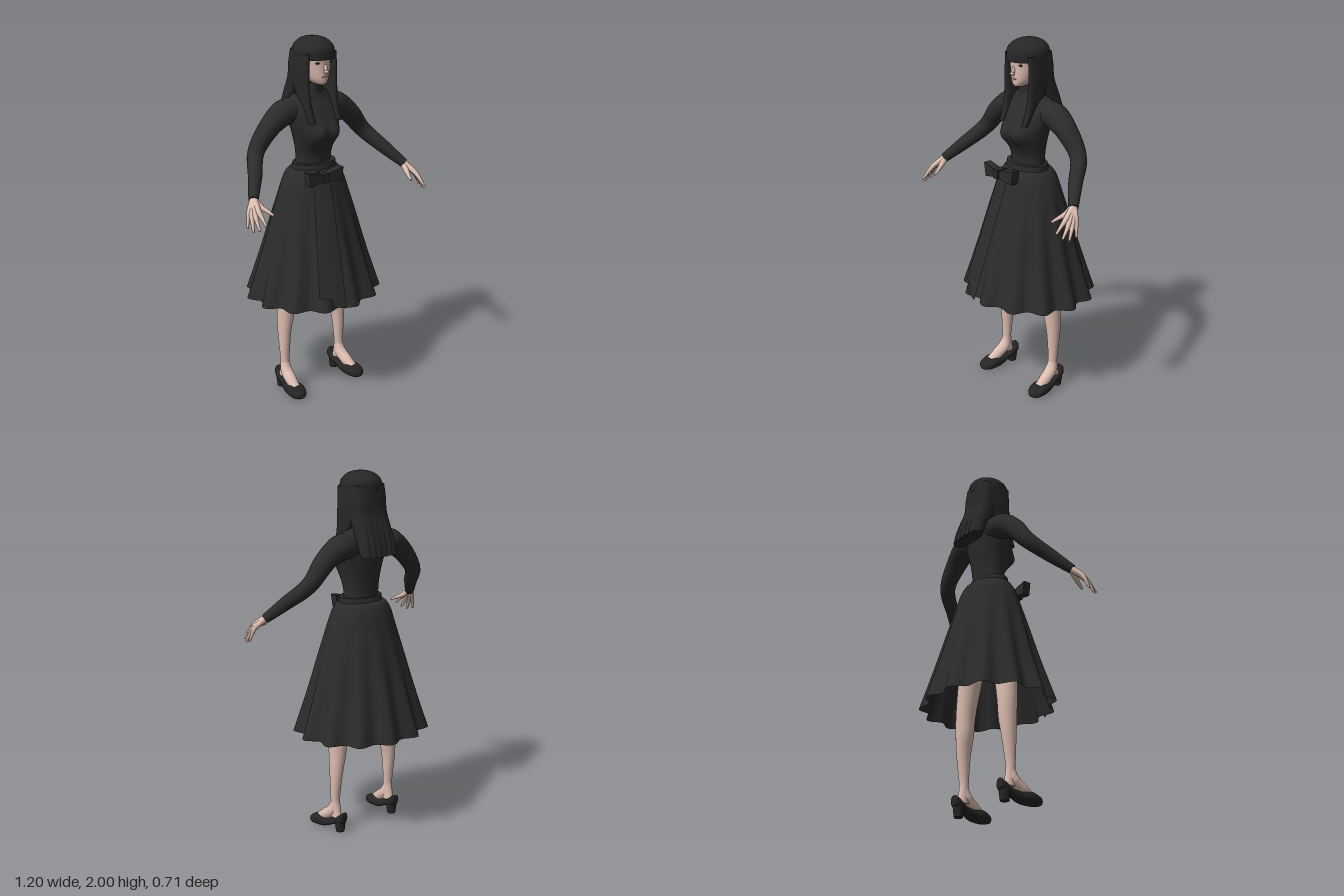
import * as THREE from 'three';

const mat = (name, color, side = THREE.FrontSide) => {
  const m = new THREE.MeshStandardMaterial({ color, side });
  m.name = name;
  return m;
};
const V = (x, y, z) => new THREE.Vector3(x, y, z);
const TAU = Math.PI * 2;

// Smoothly resample rows of numbers, n steps between neighbours
function smoothRows(rows, n = 5) {
  const out = [];
  for (let i = 0; i < rows.length - 1; i++) {
    const [a, b, c, d] = [rows[Math.max(i - 1, 0)], rows[i], rows[i + 1], rows[Math.min(i + 2, rows.length - 1)]];
    for (let k = 0; k < n; k++) {
      const t = k / n;
      out.push(b.map((v, j) => v + 0.5 * t * (c[j] - a[j] + t * (2 * a[j] - 5 * v + 4 * c[j] - d[j] + t * (3 * (v - c[j]) + d[j] - a[j])))));
    }
  }
  out.push(rows[rows.length - 1]);
  return out;
}

// Skin closed rings of points, with optional crisp end caps
function skin(rings, caps = true) {
  const n = rings[0].length, pos = [], idx = [];
  rings.forEach(r => r.forEach(p => pos.push(p.x, p.y, p.z)));
  for (let j = 0; j < rings.length - 1; j++) {
    for (let i = 0; i < n; i++) {
      const a = j * n + i, b = j * n + (i + 1) % n;
      idx.push(a, a + n, b, b, a + n, b + n);
    }
  }
  if (caps) [rings[0], rings[rings.length - 1]].forEach((r, end) => {
    const start = pos.length / 3, mid = V(0, 0, 0);
    r.forEach(p => { pos.push(p.x, p.y, p.z); mid.addScaledVector(p, 1 / n); });
    pos.push(mid.x, mid.y, mid.z);
    for (let i = 0; i < n; i++) {
      const a = start + i, b = start + (i + 1) % n;
      idx.push(start + n, ...(end ? [b, a] : [a, b]));
    }
  });
  const g = new THREE.BufferGeometry();
  g.setAttribute('position', new THREE.Float32BufferAttribute(pos, 3));
  g.setIndex(idx);
  g.computeVertexNormals();
  return g;
}

// Stack of horizontal rings; rows are [y, half width, front z, back z, centre x]
function stack(rows, { seg = 40, power = 1, rule = p => p, caps = true, steps = 5 } = {}) {
  const bend = v => Math.sign(v) * Math.abs(v) ** power;
  return skin(smoothRows(rows, steps).map(([y, rx, f, b, cx = 0]) =>
    Array.from({ length: seg }, (_, i) => {
      const a = i / seg * TAU;
      return rule(V(cx + rx * bend(Math.cos(a)), y, (f + b) / 2 + (f - b) / 2 * bend(Math.sin(a))), a);
    })), caps);
}

// Tapered tube; rows are [x, y, z, radius]
function limb(rows, s = 1, seg = 20, n = 24) {
  const curve = new THREE.CatmullRomCurve3(rows.map(r => V(r[0] * s, r[1], r[2])));
  const fr = curve.computeFrenetFrames(n);
  const rings = [];
  for (let j = 0; j <= n; j++) {
    const t = j / n, u = t * (rows.length - 1), k = Math.min(Math.floor(u), rows.length - 2);
    const r = THREE.MathUtils.lerp(rows[k][3], rows[k + 1][3], u - k);
    const c = curve.getPoint(t);
    rings.push(Array.from({ length: seg }, (_, i) => {
      const a = i / seg * TAU;
      return c.clone().addScaledVector(fr.normals[j], r * Math.cos(a)).addScaledVector(fr.binormals[j], -r * Math.sin(a));
    }));
  }
  return skin(rings);
}

export function createModel() {
  const root = new THREE.Group();
  const cloth = mat('black cloth', 0x2b2b2b, THREE.DoubleSide);
  const hairM = mat('black hair', 0x272727);
  const skinM = mat('skin', 0xdcbdb0);
  const shoeM = mat('shoe leather', 0x252525);
  const lipM = mat('lips', 0xb8857c);
  const eyeM = mat('eyes', 0x2a2220);
  const add = (name, geo, m, parent = root) => {
    const mesh = new THREE.Mesh(geo, m);
    mesh.name = name;
    parent.add(mesh);
    return mesh;
  };
  const blob = (name, m, at, size) => {
    const b = add(name, new THREE.SphereGeometry(1, 20, 14), m);
    b.position.set(...at);
    b.scale.set(...size);
  };

  // High-necked top
  add('torso', stack([
    [1.3, 0.108, 0.078, -0.075], [1.36, 0.107, 0.08, -0.075], [1.43, 0.118, 0.098, -0.082],
    [1.5, 0.137, 0.115, -0.093], [1.56, 0.155, 0.11, -0.1], [1.62, 0.165, 0.088, -0.105],
    [1.67, 0.145, 0.06, -0.1], [1.7, 0.09, 0.05, -0.082], [1.72, 0.06, 0.05, -0.06], [1.76, 0.048, 0.055, -0.05],
  ], {
    rule: (p, a) => {
      const front = Math.max(Math.sin(a), 0);
      p.z += 0.05 * front * Math.exp(-(((Math.abs(p.x) - 0.055) / 0.055) ** 2) - ((p.y - 1.49) / 0.06) ** 2);
      return p;
    },
  }), cloth);

  // Rippled skirt with thirteen folds
  add('skirt', stack([
    [0.57, 0.37, 0.335, -0.335], [0.8, 0.302, 0.27, -0.27], [1, 0.25, 0.213, -0.213], [1.15, 0.208, 0.168, -0.168],
    [1.24, 0.178, 0.142, -0.142], [1.285, 0.15, 0.118, -0.118], [1.3, 0.125, 0.095, -0.09],
  ], {
    seg: 156, caps: false,
    rule: (p, a) => {
      const k = 1 + 0.066 * Math.max(0, (1.25 - p.y) / 0.68) * Math.cos(13 * (a + 79 * Math.PI / 180));
      return V(p.x * k, p.y, p.z * k);
    },
  }), cloth);
  add('waistband', stack([[1.265, 0.135, 0.108, -0.1], [1.325, 0.13, 0.1, -0.085]], { steps: 1 }), cloth);

  // Sash bow with two hanging tails
  const bow = new THREE.Group();
  bow.name = 'bow';
  bow.position.set(-0.06, 1.272, 0.13);
  root.add(bow);
  for (const [s, len] of [[-1, 0.105], [1, 0.13]]) {
    const sh = new THREE.Shape([[0, 0.016], [s * len, 0.04], [s * (len - 0.012), -0.036], [0, -0.02]].map(p => new THREE.Vector2(...p)));
    add('bowLoop', new THREE.ExtrudeGeometry(sh, { depth: 0.045, bevelEnabled: false }), cloth, bow);
  }
  add('bowKnot', new THREE.BoxGeometry(0.036, 0.05, 0.065), cloth, bow).position.z = 0.025;
  for (const [top, bottom, y0, y1] of [[[-0.1, -0.035], [-0.19, -0.105], 1.25, 0.65], [[-0.06, 0], [-0.13, -0.05], 1.25, 0.6]]) {
    const g = new THREE.PlaneGeometry(1, 1, 6, 16), p = g.attributes.position;
    for (let i = 0; i < p.count; i++) {
      const u = p.getX(i) + 0.5, v = 0.5 - p.getY(i);
      const x = THREE.MathUtils.lerp(top[0] + (top[1] - top[0]) * u, bottom[0] + (bottom[1] - bottom[0]) * u, v);
      const y = y0 + (y1 - y0) * v - 0.02 * u * v;
      const d = (1.25 - y) / 0.68;
      const rx = 0.18 + 0.215 * d, rz = 0.145 + 0.212 * d;
      p.setXYZ(i, x, y, rz * Math.sqrt(1 - (x / rx) ** 2) + 0.006);
    }
    g.computeVertexNormals();
    add('sashTail', g, cloth);
  }

  // Head and face
  add('head', stack([
    [1.752, 0.02, 0.09, 0.03], [1.762, 0.036, 0.1, -0.01], [1.785, 0.055, 0.104, -0.04], [1.82, 0.07, 0.104, -0.07],
    [1.86, 0.08, 0.104, -0.09], [1.91, 0.085, 0.107, -0.095], [1.96, 0.07, 0.08, -0.08],
  ]), skinM);
  blob('nose', skinM, [0, 1.837, 0.104], [0.01, 0.026, 0.013]);
  blob('noseTip', skinM, [0, 1.825, 0.112], [0.011, 0.009, 0.014]);
  blob('mouth', lipM, [0, 1.796, 0.102], [0.02, 0.006, 0.006]);

  // Hair: rounded crown with fringe, and a long pleated back
  add('hairCrown', stack([
    [1.887, 0.107, 0.119, -0.113], [1.93, 0.109, 0.119, -0.115], [1.958, 0.099, 0.108, -0.106],
    [1.982, 0.072, 0.08, -0.08], [1.995, 0.04, 0.045, -0.046], [2, 0.004, 0.004, -0.006],
  ]), hairM);
  add('hairBack', stack([
    [1.56, 0.115, -0.1, -0.181], [1.62, 0.116, -0.075, -0.17], [1.7, 0.113, -0.03, -0.147],
    [1.78, 0.109, 0.01, -0.12], [1.86, 0.107, 0.02, -0.114], [1.93, 0.1, 0.02, -0.105],
  ], {
    seg: 96, power: 0.7,
    rule: (p, a) => {
      p.z += 0.006 * Math.max(0, -Math.sin(a)) * Math.max(0, (1.8 - p.y) / 0.24) * Math.cos(p.x * TAU / 0.038);
      return p;
    },
  }), hairM);

  for (const s of [1, -1]) {
    const side = s > 0 ? 'left' : 'right';
    blob(side + 'Eye', eyeM, [s * 0.036, 1.871, 0.091], [0.019, 0.006, 0.006]);

    // Front lock falling over the shoulder
    add(side + 'HairLock', stack([
      [1.555, 0.015, 0.122, 0.09, s * 0.087], [1.62, 0.018, 0.098, 0.05, s * 0.09], [1.7, 0.018, 0.085, -0.02, s * 0.092],
      [1.8, 0.017, 0.08, -0.06, s * 0.094], [1.92, 0.016, 0.08, -0.06, s * 0.09],
    ], { seg: 24, power: 0.7 }), hairM);

    // Sleeve
    add(side + 'Sleeve', limb([
      [0.09, 1.615, -0.025, 0.07], [0.17, 1.605, -0.03, 0.073], [0.27, 1.545, -0.025, 0.058],
      [0.37, 1.43, -0.012, 0.045], [0.45, 1.33, 0.085, 0.037], [0.522, 1.245, 0.168, 0.026],
    ], s, 24, 40), cloth);

    // Hand: each finger runs from the wrist through its knuckle
    const hand = new THREE.Group();
    hand.name = side + 'Hand';
    root.add(hand);
    const fingers = {
      thumb: [[0.505, 1.215, 0.205, 0.015], [0.488, 1.195, 0.245, 0.01], [0.476, 1.18, 0.277, 0.006]],
      indexFinger: [[0.541, 1.207, 0.235, 0.015], [0.544, 1.178, 0.272, 0.01], [0.545, 1.145, 0.308, 0.006]],
      middleFinger: [[0.555, 1.197, 0.225, 0.015], [0.566, 1.158, 0.258, 0.01], [0.572, 1.12, 0.29, 0.006]],
      ringFinger: [[0.565, 1.192, 0.212, 0.015], [0.58, 1.15, 0.237, 0.01], [0.588, 1.11, 0.258, 0.006]],
      littleFinger: [[0.57, 1.197, 0.197, 0.014], [0.586, 1.158, 0.208, 0.009], [0.596, 1.12, 0.218, 0.005]],
    };
    for (const [name, rows] of Object.entries(fingers)) {
      add(name, limb([[0.518, 1.25, 0.163, 0.019], ...rows], s, 10, 15), skinM, hand);
    }

    // Leg
    add(side + 'Leg', stack([
      [0.08, 0.026, 0.025, -0.05, s * 0.197], [0.14, 0.025, 0.022, -0.038, s * 0.197], [0.2, 0.027, 0.018, -0.034, s * 0.198],
      [0.35, 0.036, 0.027, -0.055, s * 0.195], [0.45, 0.047, 0.036, -0.064, s * 0.186], [0.57, 0.054, 0.042, -0.067, s * 0.18],
      [0.75, 0.066, 0.06, -0.07, s * 0.155], [1, 0.08, 0.08, -0.08, s * 0.11], [1.2, 0.085, 0.08, -0.08, s * 0.088],
    ], { seg: 28 }), skinM);

    // Foot and low-heeled shoe, turned slightly outward
    const foot = new THREE.Group();
    foot.name = side + 'Foot';
    foot.position.x = s * 0.199;
    foot.rotation.y = s * 0.1;
    root.add(foot);
    add('instep', limb([[0, 0.17, -0.008, 0.024], [0, 0.115, 0.01, 0.034], [0, 0.075, 0.06, 0.033], [0, 0.045, 0.11, 0.026]]), skinM, foot);
    const rows = smoothRows([
      [-0.08, 0.016, 0.062, 0.108], [-0.072, 0.028, 0.055, 0.115], [-0.04, 0.034, 0.046, 0.09], [0, 0.034, 0.03, 0.066],
      [0.05, 0.044, 0.008, 0.058], [0.1, 0.052, 0.002, 0.066], [0.145, 0.045, 0.002, 0.052], [0.168, 0.028, 0.006, 0.04], [0.176, 0.008, 0.012, 0.025],
    ], 4);
    add('shoe', skin(rows.map(([z, w, b, t]) => Array.from({ length: 28 }, (_, i) => {
      const a = i / 28 * TAU, q = v => Math.sign(v) * Math.abs(v) ** 0.75;
      return V(w * q(Math.cos(a)), (b + t) / 2 - (t - b) / 2 * q(Math.sin(a)), z);
    }))), shoeM, foot);
    add('heel', new THREE.CylinderGeometry(0.031, 0.024, 0.062, 20), shoeM, foot).position.set(0, 0.031, -0.045);
  }
  return root;
}
